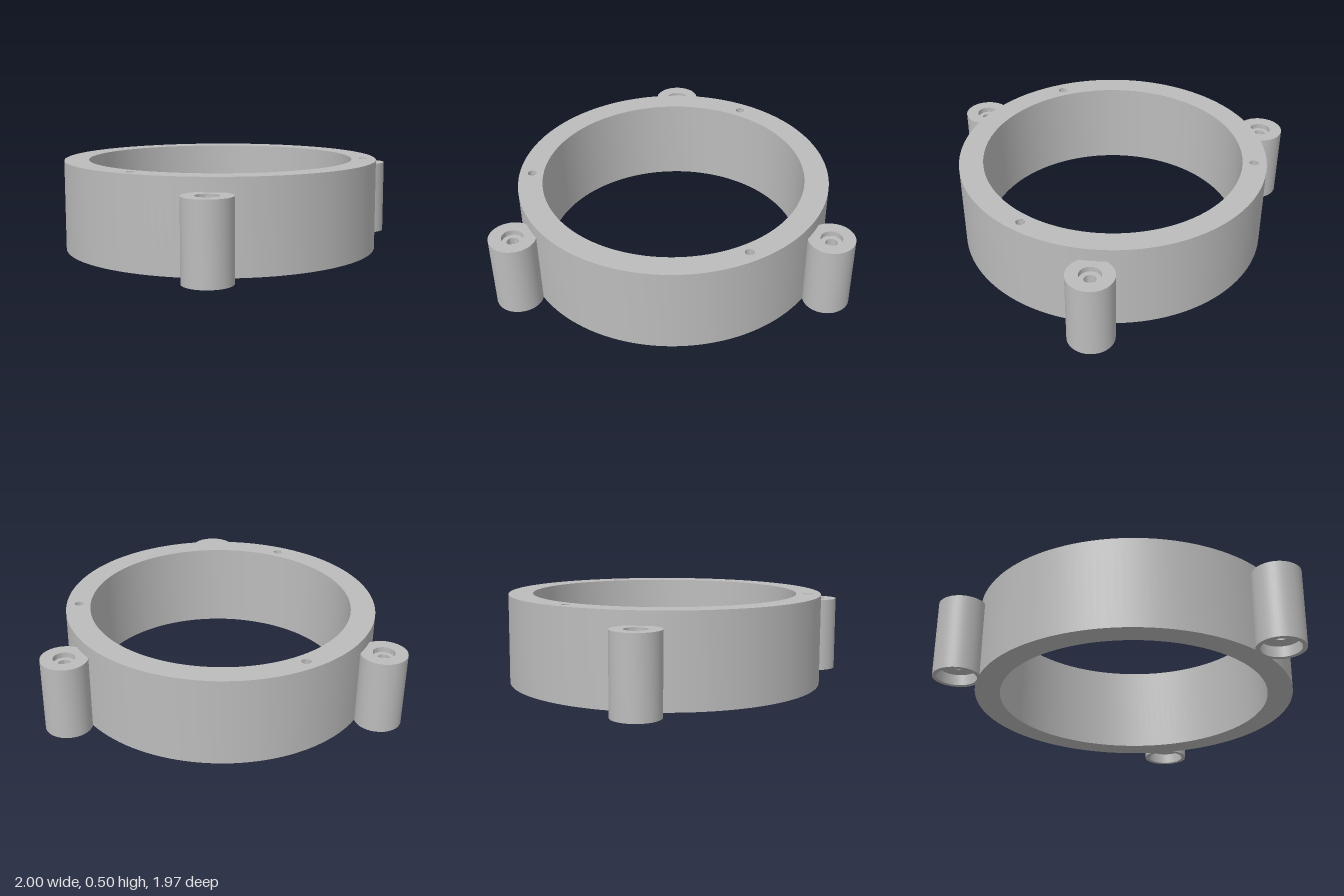
import * as THREE from 'three';
import { toCreasedNormals } from 'three/addons/utils/BufferGeometryUtils.js';

const CENTER_X = -0.118, OUTER = 0.882, INNER = 0.745, HEIGHT = 0.5;
const BOSS_DISTANCE = 0.988, POCKET_DISTANCE = 0.81, POCKET_RADIUS = 0.025;

// Revolves an [radius, height] profile, keeping its corners sharp
function revolve(profile, segments) {
  const points = profile.map(([r, y]) => new THREE.Vector2(r, y));
  return toCreasedNormals(new THREE.LatheGeometry(points, segments), 0.6);
}

export function createModel() {
  const model = new THREE.Group();
  model.name = 'mountingRing';
  const grey = new THREE.MeshStandardMaterial({ color: 0xbcbcbc });
  grey.name = 'grey';

  const add = (name, geometry, x = 0, y = 0, z = 0) => {
    const mesh = new THREE.Mesh(geometry, grey);
    mesh.name = name;
    mesh.position.set(CENTER_X + x, y, z);
    model.add(mesh);
  };

  // Ring walls and underside
  add('ringBody', revolve([[INNER, HEIGHT], [INNER, 0], [OUTER, 0], [OUTER, HEIGHT]], 128));

  // Ring top face, pierced by three screw holes
  const face = new THREE.Shape().absarc(0, 0, OUTER, 0, Math.PI * 2, false);
  face.holes.push(new THREE.Path().absarc(0, 0, INNER, 0, Math.PI * 2, true));
  const pocket = revolve([[POCKET_RADIUS, 0], [POCKET_RADIUS, -0.2], [0, -0.2]], 24);

  // Hollow boss: counterbore on top, through hole, wide recess below
  const boss = revolve([
    [0.106, 0], [0.13, 0], [0.13, 0.425], [0.06, 0.425], [0.06, 0.395],
    [0.033, 0.395], [0.033, 0.06], [0.106, 0.06], [0.106, 0],
  ], 48);

  for (let i = 0; i < 3; i++) {
    const turn = i * Math.PI * 2 / 3;
    add('screwBoss', boss, Math.cos(turn) * BOSS_DISTANCE, 0, Math.sin(turn) * BOSS_DISTANCE);

    const a = turn + Math.PI / 2;
    const px = Math.cos(a) * POCKET_DISTANCE, py = Math.sin(a) * POCKET_DISTANCE;
    face.holes.push(new THREE.Path().absarc(px, py, POCKET_RADIUS, 0, Math.PI * 2, true));
    add('screwHole', pocket, px, HEIGHT, -py);
  }
  add('ringTop', new THREE.ShapeGeometry(face, 64).rotateX(-Math.PI / 2), 0, HEIGHT, 0);

  return model;
}
